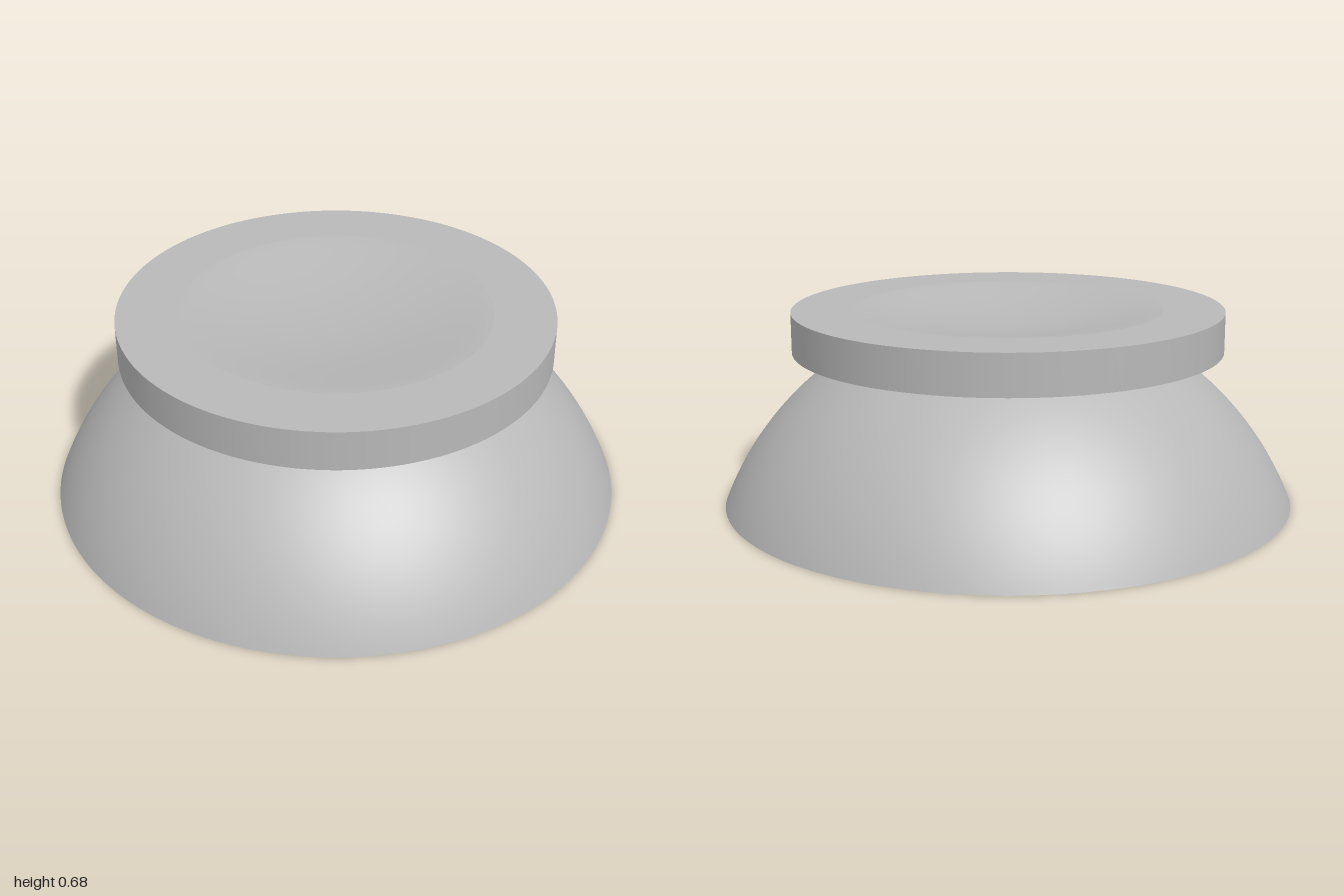
import * as THREE from 'three';
import { toCreasedNormals } from 'three/addons/utils/BufferGeometryUtils.js';

const SEGMENTS = 128;
const SPHERE_Y = -0.405; // common centre of the inner and outer dome

// Points on a dome of the given radius, between two heights
function domeArc(radius, y0, y1, steps = 28) {
  const a0 = Math.asin((y0 - SPHERE_Y) / radius);
  const a1 = Math.asin(Math.min(1, (y1 - SPHERE_Y) / radius));
  return Array.from({ length: steps + 1 }, (_, i) => {
    const a = a0 + (a1 - a0) * i / steps;
    return [Math.max(0, radius * Math.cos(a)), SPHERE_Y + radius * Math.sin(a)];
  });
}

export function createModel() {
  const group = new THREE.Group();
  const grey = new THREE.MeshStandardMaterial({ color: 0xb8b8b8 });
  grey.name = 'grey plastic';

  const add = (name, geometry) => {
    const mesh = new THREE.Mesh(geometry, grey);
    mesh.name = name;
    group.add(mesh);
  };
  const lathe = (name, points) =>
    add(name, new THREE.LatheGeometry(points.map(([r, y]) => new THREE.Vector2(r, y)), SEGMENTS));

  // Hollow dome skirt
  const innerRadius = Math.hypot(0.91, SPHERE_Y);
  const outerRadius = Math.hypot(1, SPHERE_Y);
  lathe('skirtInside', domeArc(innerRadius, SPHERE_Y + innerRadius, 0));
  lathe('skirtRim', [[0.91, 0], [1, 0]]);
  lathe('skirtOutside', domeArc(outerRadius, 0, 0.54));

  // Thumb cap: flat underside, straight wall, flat ring and shallow dish
  const capRadius = 0.752, top = 0.675, dishRadius = 0.54, dishDepth = 0.06;
  lathe('capUnderside', [[0.5, 0.535], [capRadius, 0.535]]);
  lathe('capWall', [[capRadius, 0.535], [capRadius, top]]);
  lathe('capRing', [[capRadius, top], [dishRadius, top]]);
  const dish = [];
  for (let i = 0; i <= 28; i++) {
    const t = 1 - i / 28;
    dish.push([dishRadius * t, top - dishDepth * Math.pow(1 - t * t, 1.3)]);
  }
  lathe('capDish', dish);

  // Stem with a D-shaped socket, flat on the +x side
  const outline = new THREE.Shape().absarc(0, 0, 0.206, 0, Math.PI * 2, false);
  const socket = new THREE.Path();
  socket.absarc(0, 0, 0.142, Math.PI / 4, Math.PI * 7 / 4, false);
  socket.closePath();
  outline.holes.push(socket);
  const stem = new THREE.ExtrudeGeometry(outline, { depth: 0.45, bevelEnabled: false, curveSegments: 40 });
  stem.rotateX(-Math.PI / 2).translate(0, 0.145, 0);
  add('stem', toCreasedNormals(stem, 0.6));

  return group;
}
